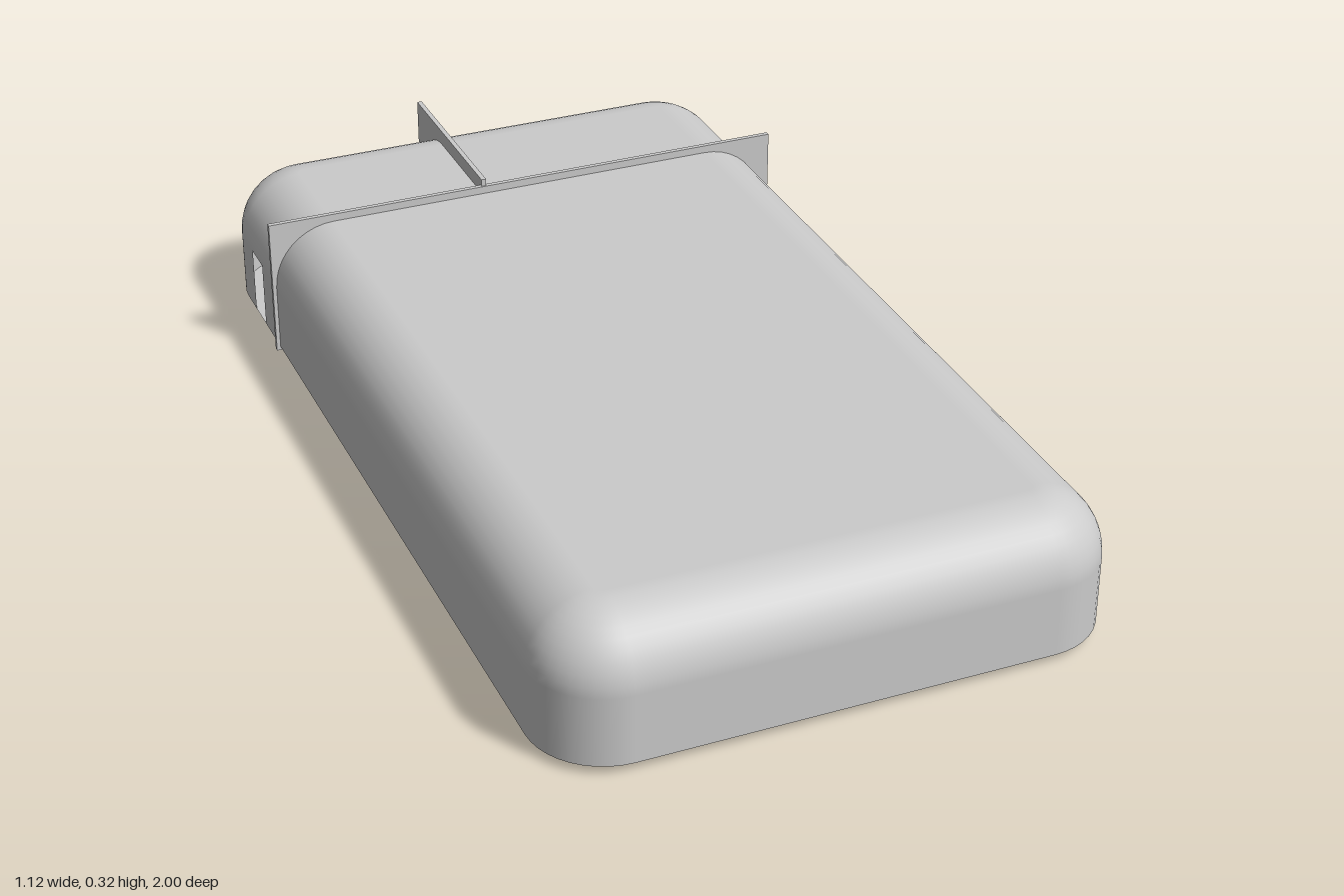
import * as THREE from 'three';

const X0 = -0.555, X1 = 0.54, Z0 = -0.967, Z1 = 1; // plan extents
const BASE = 0.018, WALL = 0.157, EDGE = 0.13, CORNER = 0.145;

// Rounded-rectangle outline with outward normals; slot ends are extra points
function outline(steps = 10) {
  const pts = [];
  const centres = [
    [X1 - CORNER, Z1 - CORNER], [X0 + CORNER, Z1 - CORNER],
    [X0 + CORNER, Z0 + CORNER], [X1 - CORNER, Z0 + CORNER],
  ];
  const slotEnds = (x, nx, ...zs) => zs.forEach((z) => pts.push({ x, z, nx, nz: 0, slot: true }));
  centres.forEach(([cx, cz], k) => {
    if (k === 2) slotEnds(X0, -1, -0.69, -0.76);
    for (let i = 0; i <= steps; i++) {
      const a = (k + i / steps) * Math.PI / 2;
      const nx = Math.cos(a), nz = Math.sin(a);
      pts.push({ x: cx + CORNER * nx, z: cz + CORNER * nz, nx, nz, slot: false });
    }
  });
  slotEnds(X1, 1, 0.6, 0.728);
  return pts;
}

// Hollow skin: straight wall with two openings, rounded top edge, flat lid
function shellGeometry(pts) {
  const rings = [{ y: BASE, inset: 0, tilt: 0 }];
  const steps = 10;
  for (let i = 0; i <= steps; i++) {
    const tilt = (i / steps) * Math.PI / 2;
    rings.push({ y: WALL + EDGE * Math.sin(tilt), inset: EDGE * (1 - Math.cos(tilt)), tilt });
  }
  const pos = [], nor = [], idx = [], n = pts.length;
  for (const { y, inset, tilt } of rings) {
    for (const p of pts) {
      pos.push(p.x - p.nx * inset, y, p.z - p.nz * inset);
      nor.push(p.nx * Math.cos(tilt), Math.sin(tilt), p.nz * Math.cos(tilt));
    }
  }
  for (let r = 0; r < rings.length - 1; r++) {
    for (let i = 0; i < n; i++) {
      const j = (i + 1) % n;
      if (r === 0 && pts[i].slot && pts[j].slot) continue; // opening
      const a = r * n + i, b = r * n + j;
      idx.push(a, a + n, b, b, a + n, b + n);
    }
  }
  const centre = pos.length / 3, last = (rings.length - 1) * n;
  pos.push((X0 + X1) / 2, WALL + EDGE, (Z0 + Z1) / 2);
  nor.push(0, 1, 0);
  for (let i = 0; i < n; i++) idx.push(last + i, centre, last + (i + 1) % n);
  const g = new THREE.BufferGeometry();
  g.setAttribute('position', new THREE.Float32BufferAttribute(pos, 3));
  g.setAttribute('normal', new THREE.Float32BufferAttribute(nor, 3));
  g.setIndex(idx);
  return g;
}

export function createModel() {
  const group = new THREE.Group();
  const skin = new THREE.MeshStandardMaterial({ color: 0xcccccc, side: THREE.DoubleSide });
  const solid = new THREE.MeshStandardMaterial({ color: 0xcccccc });
  const add = (name, geometry, material) => {
    const mesh = new THREE.Mesh(geometry, material);
    mesh.name = name;
    group.add(mesh);
    return mesh;
  };

  const pts = outline();
  add('shell', shellGeometry(pts), skin);

  // Flat floor closing the underside
  const floor = new THREE.Shape(pts.map((p) => new THREE.Vector2(p.x, p.z)));
  add('floor', new THREE.ShapeGeometry(floor).rotateX(Math.PI / 2), skin).position.y = BASE;

  // Thin plates standing slightly proud of the shell
  const plate = (name, x0, x1, y0, y1, z0, z1) =>
    add(name, new THREE.BoxGeometry(x1 - x0, y1 - y0, z1 - z0), solid)
      .position.set((x0 + x1) / 2, (y0 + y1) / 2, (z0 + z1) / 2);
  plate('crossPlate', -0.563, 0.561, 0.01, 0.303, -0.594, -0.584);
  plate('rearDividerPlate', -0.099, -0.089, 0, 0.318, -1, -0.587);

  return group;
}
